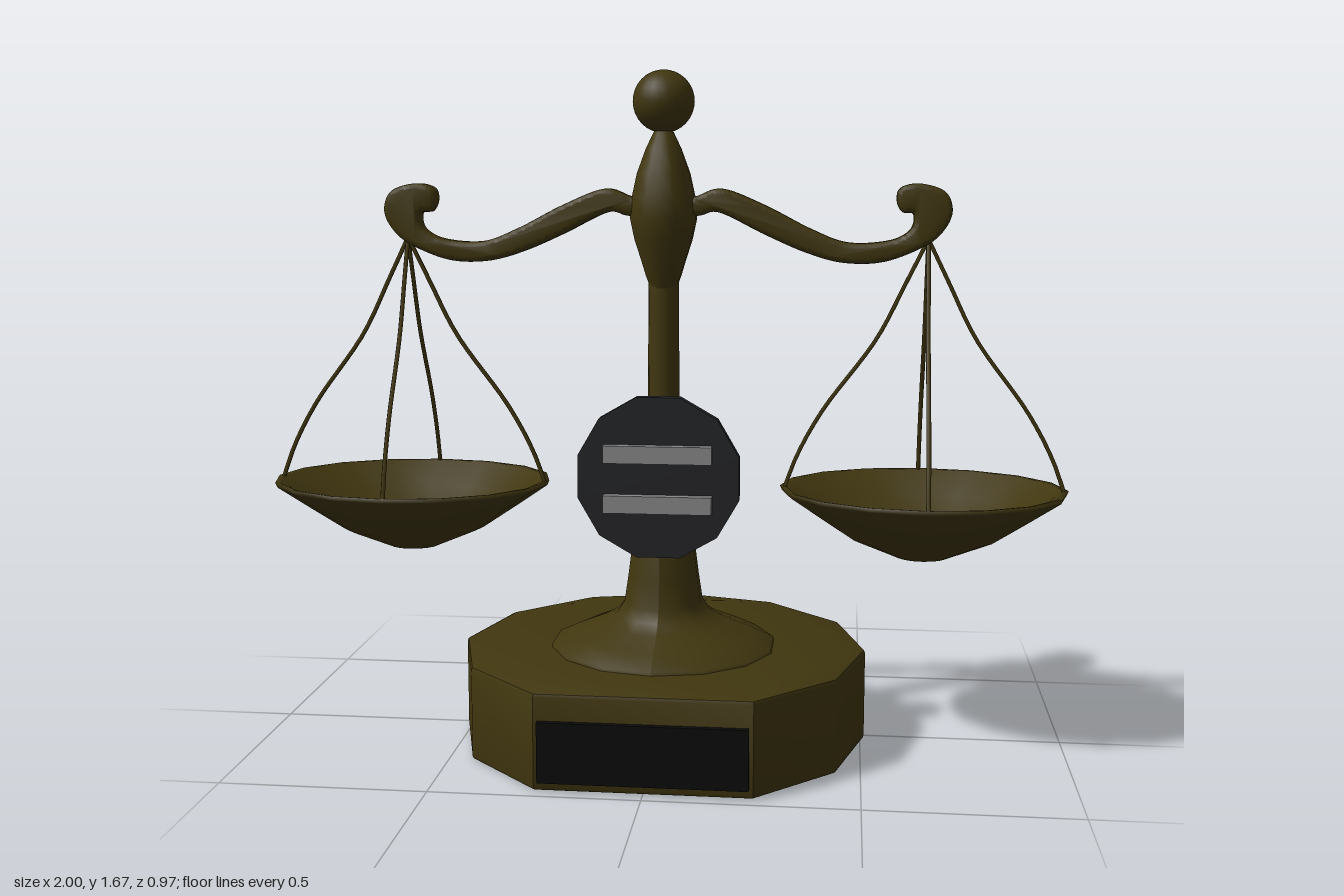
import * as THREE from 'three';
import { toCreasedNormals } from 'three/addons/utils/BufferGeometryUtils.js';

const bronze = new THREE.MeshStandardMaterial({ color: 0x40360f, side: THREE.DoubleSide });
const black = new THREE.MeshStandardMaterial({ color: 0x0b0b0b });
const dark = new THREE.MeshStandardMaterial({ color: 0x232427 });
const grey = new THREE.MeshStandardMaterial({ color: 0x888888 });
const CZ = 0.027; // depth of the main axis

export function createModel() {
  const model = new THREE.Group();
  model.name = 'balanceScale';

  const add = (name, geometry, material, x = 0, y = 0, z = CZ, parent = model) => {
    const mesh = new THREE.Mesh(geometry, material);
    mesh.name = name;
    mesh.position.set(x, y, z);
    parent.add(mesh);
    return mesh;
  };
  const lathe = (points, sides) =>
    new THREE.LatheGeometry(points.map(([r, y]) => new THREE.Vector2(r, y)), sides);

  // Base: twelve-sided drum whose front corner is cut flat
  const outline = [];
  for (let i = 1; i < 12; i++) {
    const a = (i * Math.PI) / 6;
    outline.push(new THREE.Vector2(0.51 * Math.sin(a), -0.51 * Math.cos(a)));
  }
  const drum = new THREE.ExtrudeGeometry(new THREE.Shape(outline), {
    depth: 0.215, bevelThickness: 0.01, bevelSize: 0.01, bevelOffset: -0.01, bevelSegments: 2,
  });
  drum.rotateX(-Math.PI / 2);
  add('base', toCreasedNormals(drum, 0.6), bronze, 0, 0.01);
  add('namePlate', new THREE.BoxGeometry(0.49, 0.145, 0.02), black, 0, 0.097, 0.473);

  // Pedestal: round foot, with a neck slightly narrower from side to side
  const pedestal = lathe([
    [0.285, 0.23], [0.283, 0.243], [0.23, 0.27], [0.17, 0.298], [0.136, 0.32],
    [0.12, 0.35], [0.108, 0.42], [0.096, 0.5], [0.076, 0.58], [0.056, 0.64], [0.04, 0.667],
  ], 14);
  const p = pedestal.attributes.position;
  for (let i = 0; i < p.count; i++) {
    const t = THREE.MathUtils.smoothstep(p.getY(i), 0.25, 0.36);
    p.setX(i, p.getX(i) * (1 - 0.18 * t));
  }
  pedestal.computeVertexNormals();
  add('pedestal', pedestal, bronze);

  // Column, bulb and ball
  add('column', new THREE.CylinderGeometry(0.037, 0.043, 0.7, 12), bronze, 0, 0.85);
  const bulb = lathe([
    [0.037, 1.14], [0.05, 1.17], [0.062, 1.205], [0.082, 1.26], [0.094, 1.31],
    [0.09, 1.36], [0.075, 1.42], [0.05, 1.48], [0.028, 1.52], [0, 1.54],
  ], 14);
  add('bulb', bulb, bronze).scale.x = 0.88;
  add('topBall', new THREE.SphereGeometry(0.076, 24, 16), bronze, 0, 1.594);

  // Arm: S-curve with a curled tip
  const arm = new THREE.Shape();
  arm.moveTo(0.03, 1.31);
  arm.splineThru([[0.09, 1.318], [0.14, 1.325], [0.25, 1.272], [0.35, 1.229], [0.44, 1.205],
    [0.54, 1.208], [0.64, 1.248], [0.685, 1.29], [0.7, 1.335], [0.68, 1.378], [0.62, 1.396],
    [0.575, 1.385], [0.567, 1.355], [0.58, 1.328], [0.607, 1.322], [0.6, 1.285], [0.55, 1.259],
    [0.45, 1.254], [0.36, 1.287], [0.25, 1.343], [0.145, 1.383], [0.08, 1.365], [0.03, 1.36],
  ].map(([x, y]) => new THREE.Vector2(x, y)));
  arm.closePath();
  const armGeometry = toCreasedNormals(new THREE.ExtrudeGeometry(arm, {
    depth: 0.03, curveSegments: 60, bevelThickness: 0.014, bevelSize: 0.012,
    bevelOffset: -0.012, bevelSegments: 3,
  }).translate(0, 0, -0.015), 0.6);

  // Dish: thin oval bowl with an inner surface
  const dishGeometry = lathe([
    [0, 0.468], [0.06, 0.475], [0.18, 0.525], [0.27, 0.585], [0.348, 0.638], [0.353, 0.65],
    [0.338, 0.648], [0.26, 0.594], [0.17, 0.538], [0.06, 0.49], [0, 0.483],
  ], 16);

  // Arms, dishes and their four cords on each side
  for (const [side, label] of [[1, 'left'], [-1, 'right']]) {
    const half = new THREE.Group();
    half.name = label + 'Side';
    half.position.z = CZ;
    model.add(half);
    const armMesh = add(label + 'Arm', armGeometry, bronze, 0, 0, 0, half);
    if (side < 0) armMesh.rotation.y = Math.PI;
    add(label + 'Dish', dishGeometry, bronze, side * 0.645, 0, 0, half).scale.z = 0.81;
    for (let k = 0; k < 4; k++) {
      const a = (k * Math.PI) / 2;
      const path = [[0, 1.262], [0.05, 1.16], [0.12, 1.02], [0.25, 0.84], [0.31, 0.73], [0.342, 0.645]]
        .map(([r, y]) => new THREE.Vector3(r * Math.cos(a), y, r * 0.82 * Math.sin(a)));
      const cord = new THREE.TubeGeometry(new THREE.CatmullRomCurve3(path), 20, 0.0055, 6);
      add(label + 'Cord', cord, bronze, side * 0.645, 0, 0, half);
    }
  }

  // Faceted badge with two bars running through it
  const disc = new THREE.CylinderGeometry(0.205, 0.205, 0.03, 12);
  disc.rotateY(Math.PI / 12).rotateX(Math.PI / 2);
  add('badge', toCreasedNormals(disc, 0.3), dark, 0, 0.685, 0.141);
  for (const y of [0.745, 0.622]) {
    add('badgeBar', new THREE.BoxGeometry(0.265, 0.043, 0.058), grey, 0, y, 0.152);
  }
  return model;
}
